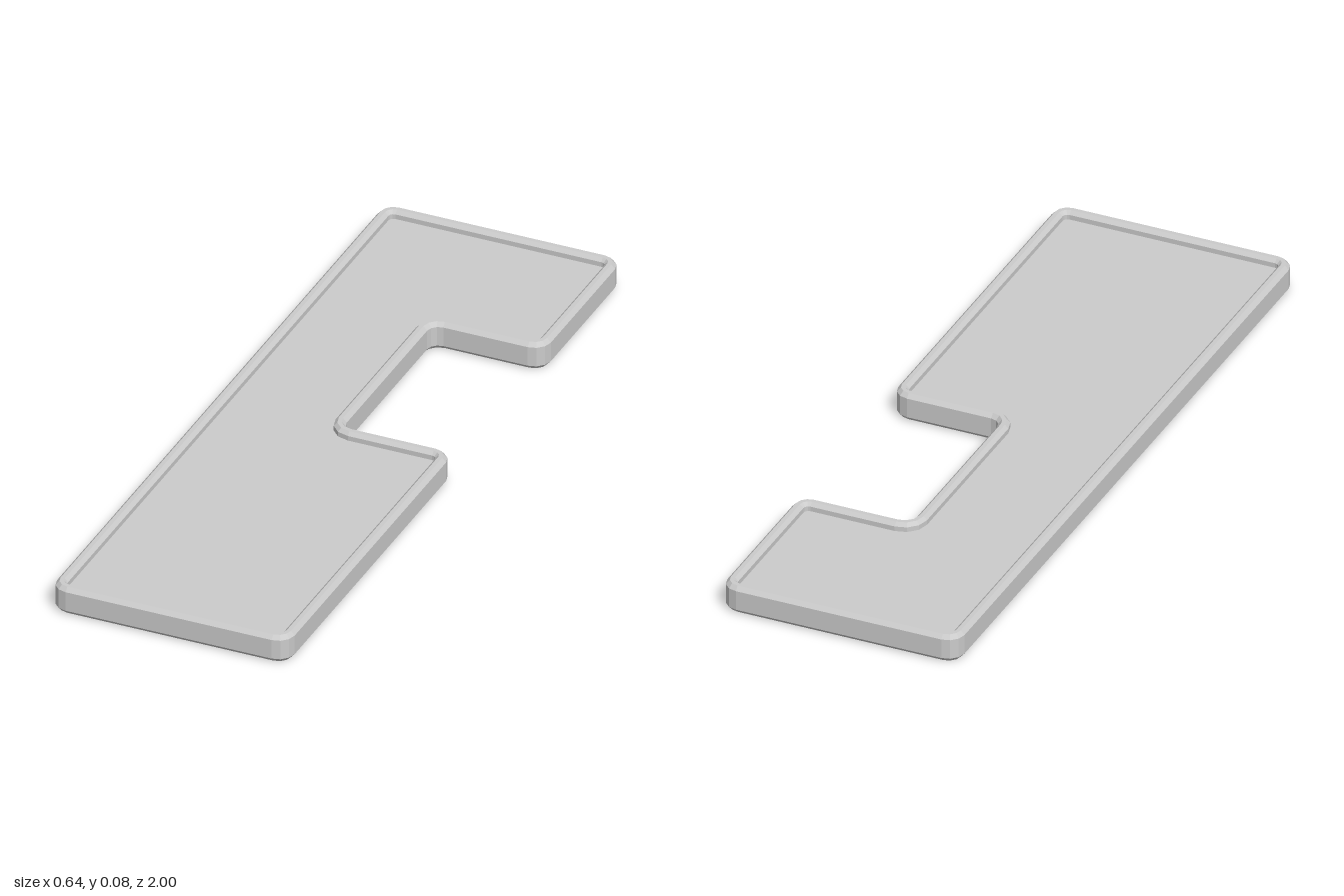
import * as THREE from 'three';

// Plan corners seen from above (x, -z), counter-clockwise, with a notch on the +x side
const CORNERS = [
  [-0.32, -1], [0.32, -1], [0.32, -0.01], [0.02, -0.01],
  [0.02, 0.53], [0.32, 0.53], [0.32, 1], [-0.32, 1],
].map(([x, y]) => new THREE.Vector2(x, y));
const SEGMENTS = 3;

// Rounded outline moved inward by d
function outline(d) {
  const points = [];
  const n = CORNERS.length;
  CORNERS.forEach((corner, i) => {
    const a = corner.clone().sub(CORNERS[(i + n - 1) % n]).normalize();
    const b = CORNERS[(i + 1) % n].clone().sub(corner).normalize();
    const turn = Math.sign(a.cross(b)); // +1 outer corner, -1 notch corner
    const r = turn > 0 ? 0.043 : 0.03;
    const centre = corner.clone().addScaledVector(a, -r).addScaledVector(b, r);
    const start = Math.atan2(-a.x * turn, a.y * turn);
    for (let k = 0; k <= SEGMENTS; k++) {
      const t = start + turn * (k / SEGMENTS) * Math.PI / 2;
      const radius = r - turn * d;
      points.push(new THREE.Vector2(centre.x + radius * Math.cos(t), centre.y + radius * Math.sin(t)));
    }
  });
  return points;
}

// Sweep a closed bevelled section [inset, height] round the outline
function rimGeometry() {
  const section = [
    [0.01, 0], [0, 0.011], [0, 0.064], [0.01, 0.075],
    [0.021, 0.075], [0.03, 0.066], [0.03, 0.009], [0.021, 0],
  ];
  const position = [], index = [];
  const rings = section.map(([d, y]) => outline(d).map((p) => [p.x, y, -p.y]));
  const n = rings[0].length;
  rings.forEach((ring, j) => {
    const next = ((j + 1) % rings.length) * n;
    ring.forEach((p, i) => {
      position.push(...p);
      const i2 = (i + 1) % n;
      index.push(j * n + i, j * n + i2, next + i2, j * n + i, next + i2, next + i);
    });
  });
  const geometry = new THREE.BufferGeometry();
  geometry.setAttribute('position', new THREE.Float32BufferAttribute(position, 3));
  geometry.setIndex(index);
  const flat = geometry.toNonIndexed();
  flat.computeVertexNormals();
  return flat;
}

export function createModel() {
  const group = new THREE.Group();
  group.name = 'notchedTray';
  const material = new THREE.MeshStandardMaterial({ color: 0xcccccc, flatShading: true });

  // Raised rim standing above and below the panel
  const rim = new THREE.Mesh(rimGeometry(), material);
  rim.name = 'rim';

  // Flat panel recessed inside the rim
  const panelGeometry = new THREE.ExtrudeGeometry(new THREE.Shape(outline(0.02)), {
    depth: 0.031, bevelEnabled: false,
  });
  panelGeometry.rotateX(-Math.PI / 2).translate(0, 0.022, 0);
  const panel = new THREE.Mesh(panelGeometry, material);
  panel.name = 'panel';

  group.add(rim, panel);
  return group;
}
